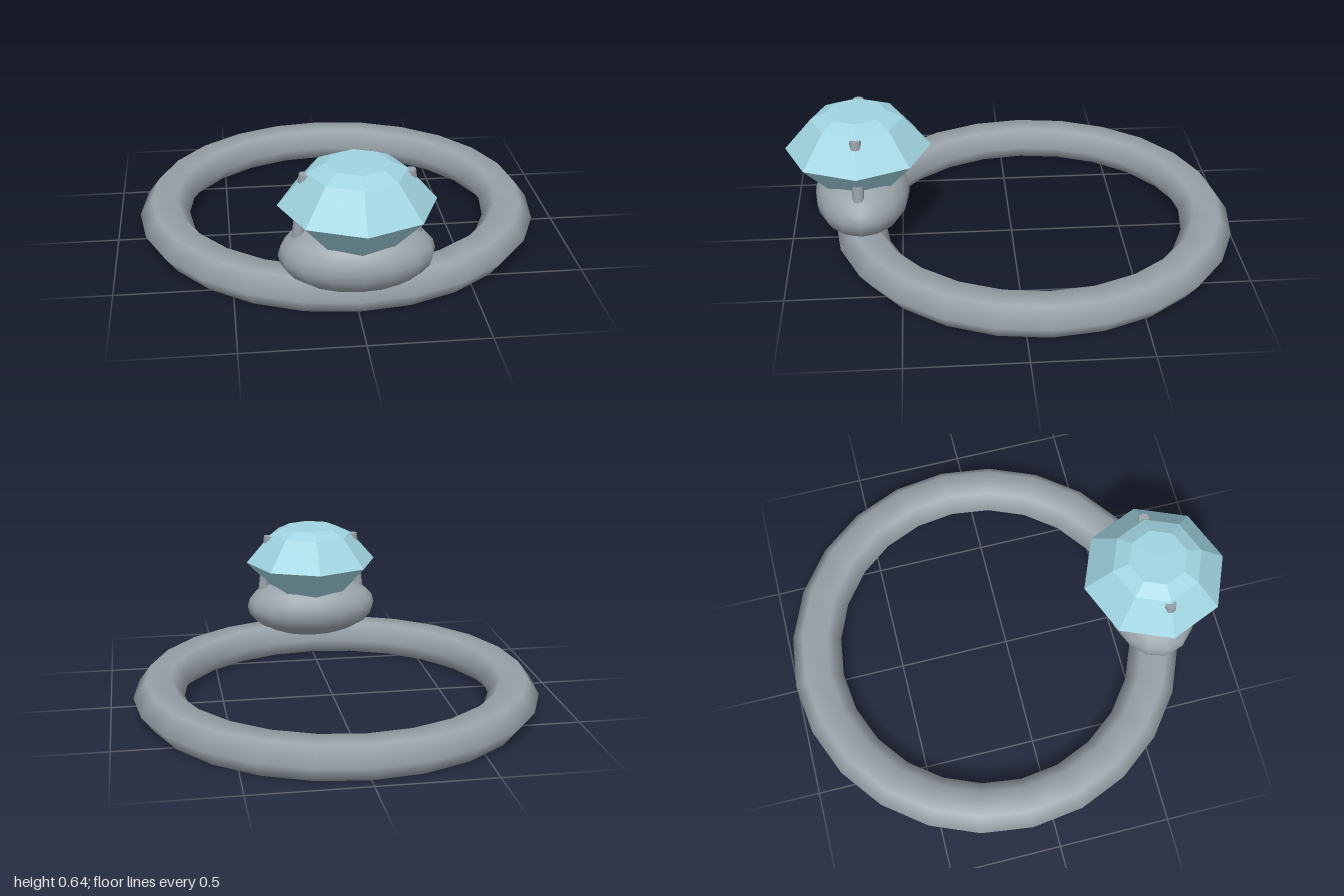
import * as THREE from 'three';

export function createModel() {
  const ring = new THREE.Group();
  ring.name = 'gemRing';
  const metal = new THREE.MeshStandardMaterial({ color: 0x9aa3aa });
  metal.name = 'grey metal';
  const crystal = new THREE.MeshStandardMaterial({ color: 0xa0d4e0, flatShading: true });
  crystal.name = 'pale blue crystal';

  const add = (name, geometry, material, x, y, z) => {
    const mesh = new THREE.Mesh(geometry, material);
    mesh.name = name;
    mesh.position.set(x, y, z);
    ring.add(mesh);
    return mesh;
  };
  const headZ = 0.677;

  // Band: six-sided tube lying flat, squashed in height
  const bandGeometry = new THREE.TorusGeometry(0.7875, 0.1125, 6, 24);
  bandGeometry.rotateX(-Math.PI / 2).scale(1, 0.77, 1);
  add('band', bandGeometry, metal, 0, 0.075, -0.1);

  // Setting: flattened oval that carries the stone
  const settingGeometry = new THREE.SphereGeometry(1, 16, 12);
  settingGeometry.scale(0.32, 0.15, 0.21);
  add('setting', settingGeometry, metal, 0, 0.24, 0.67);

  // Stone: eight-sided pavilion, crown, bevel and table
  const profile = [[0, 0.13], [0.32, 0.465], [0.2, 0.602], [0.13, 0.635], [0, 0.635]]
    .map(([r, y]) => new THREE.Vector2(r, y));
  add('gem', new THREE.LatheGeometry(profile, 8), crystal, 0, 0, headZ);

  // Prongs: a leaning claw on each side
  for (const side of [-1, 1]) {
    const bottom = new THREE.Vector3(side * 0.247, 0.25, headZ);
    const top = new THREE.Vector3(side * 0.207, 0.595, headZ);
    const axis = top.clone().sub(bottom);
    const middle = bottom.clone().add(top).multiplyScalar(0.5);
    const prong = add(side > 0 ? 'leftProng' : 'rightProng',
      new THREE.CylinderGeometry(0.025, 0.025, axis.length(), 8), metal, middle.x, middle.y, middle.z);
    prong.quaternion.setFromUnitVectors(new THREE.Vector3(0, 1, 0), axis.normalize());
  }

  return ring;
}
